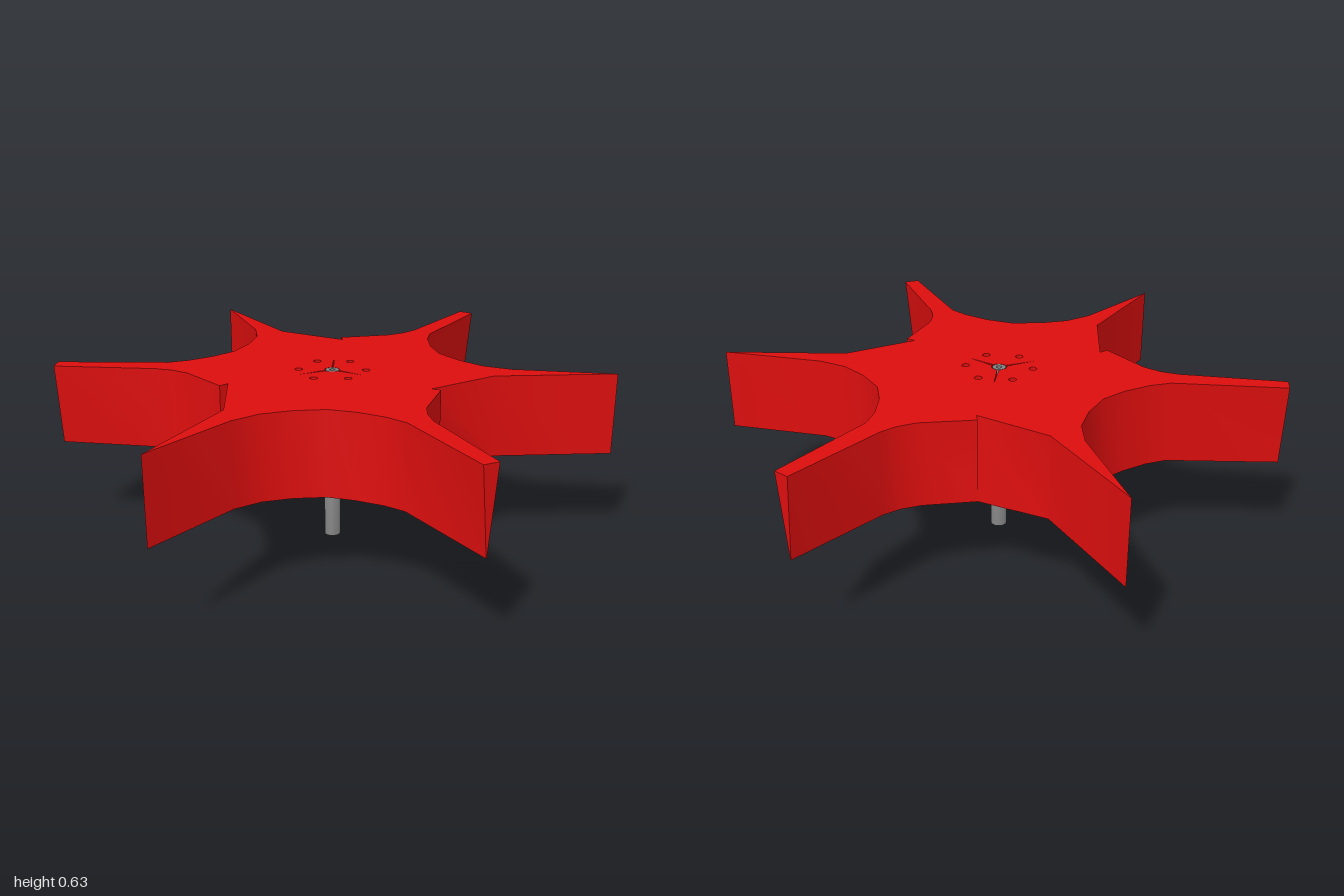
import * as THREE from 'three';
import { toCreasedNormals, mergeGeometries } from 'three/addons/utils/BufferGeometryUtils.js';

const LOW = 0.336, HIGH = 0.633, HUB_X = -0.007;

// One third of the star outline: [top x, top z, bottom x, bottom z],
// running from a pointed arm, past the stepped notch, round a blunt arm.
const SECTOR = [
  [0.825, 0.55, 0.825, 0.55],
  [0.437, 0.351, 0.437, 0.351],
  [0.166, 0.36, 0.188, 0.388],
  [0.188, 0.386, 0.188, 0.388],
  [0.042, 0.512, 0.052, 0.512],
  [0.006, 0.57, 0.01, 0.57],
  [-0.012, 0.63, -0.014, 0.63],
  [-0.047, 0.998, -0.072, 0.992],
  [-0.102, 0.994, -0.074, 0.992],
  [-0.091, 0.6, -0.091, 0.6],
  [-0.116, 0.528, -0.124, 0.528],
  [-0.17, 0.44, -0.182, 0.446],
  [-0.238, 0.368, -0.246, 0.378],
  [-0.34, 0.321, -0.346, 0.33],
  [-0.444, 0.298, -0.447, 0.304],
  [-0.548, 0.31, -0.548, 0.31],
];

function spin(x, z, angle) {
  const c = Math.cos(angle), s = Math.sin(angle);
  return [x * c - z * s, x * s + z * c];
}

// Wall between a lower and an upper loop of [x, z] points
function wall(lower, upper) {
  const pos = [];
  const n = upper.length;
  const put = (p, y) => pos.push(p[0], y, p[1]);
  for (let i = 0; i < n; i++) {
    const j = (i + 1) % n;
    put(lower[i], LOW); put(upper[i], HIGH); put(upper[j], HIGH);
    put(lower[i], LOW); put(upper[j], HIGH); put(lower[j], LOW);
  }
  const g = new THREE.BufferGeometry();
  g.setAttribute('position', new THREE.Float32BufferAttribute(pos, 3));
  return toCreasedNormals(g, 0.6);
}

// Flat face with holes; side is 1 for the top and -1 for the underside
function cap(loop, holes, side) {
  const flat = (pts) => pts.map(([x, z]) => new THREE.Vector2(x, -side * z));
  const shape = new THREE.Shape(flat(loop));
  shape.holes = holes.map((h) => new THREE.Path(flat(h)));
  const g = new THREE.ShapeGeometry(shape).rotateX((-side * Math.PI) / 2);
  g.translate(0, side > 0 ? HIGH : LOW, 0);
  const out = g.toNonIndexed();
  out.deleteAttribute('uv');
  return out;
}

export function createModel() {
  const red = new THREE.MeshStandardMaterial({ color: 0xdc0e0e });
  red.name = 'red';
  const grey = new THREE.MeshStandardMaterial({ color: 0x858585 });
  grey.name = 'grey';
  const group = new THREE.Group();
  group.name = 'starWheel';

  // Star outlines, three sectors each
  const upper = [], lower = [];
  for (let k = 0; k < 3; k++) {
    const a = (k * Math.PI * 2) / 3;
    for (const [tx, tz, bx, bz] of SECTOR) {
      upper.push(spin(tx, tz, a));
      lower.push(spin(bx, bz, a));
    }
  }

  // Ring of six small bolt holes
  const holes = [];
  for (let k = 0; k < 6; k++) {
    const a = (-87 + k * 60) * Math.PI / 180;
    const hole = [];
    for (let i = 0; i < 12; i++) {
      const t = (-i * Math.PI) / 6;
      hole.push([
        HUB_X + 0.119 * Math.cos(a) + 0.014 * Math.cos(t),
        0.119 * Math.sin(a) + 0.014 * Math.sin(t),
      ]);
    }
    holes.push(hole);
  }

  // Hub opening with three thin slits
  const hub = [];
  for (let k = 2; k >= 0; k--) {
    const a = ((-57 + k * 120) * Math.PI) / 180;
    for (const [r, d] of [[0.027, 0.95], [0.027, 0.5], [0.027, 0.12], [0.138, 0], [0.027, -0.12], [0.027, -0.5]]) {
      hub.push([HUB_X + r * Math.cos(a + d), r * Math.sin(a + d)]);
    }
  }
  holes.push(hub);

  const star = new THREE.Mesh(mergeGeometries([
    wall(lower, upper),
    ...holes.map((h) => wall(h, h)),
    cap(upper, holes, 1),
    cap(lower, holes, -1),
  ]), red);
  star.name = 'starBody';
  group.add(star);

  // Hollow shaft below the star, reaching up through the hub
  const profile = [[0.01, 0], [0.029, 0], [0.029, LOW], [0.024, LOW + 0.01], [0.024, HIGH], [0.01, HIGH], [0.01, 0]]
    .map(([r, y]) => new THREE.Vector2(r, y));
  const shaft = new THREE.Mesh(toCreasedNormals(new THREE.LatheGeometry(profile, 20), 0.6), grey);
  shaft.name = 'shaft';
  shaft.position.x = HUB_X;
  group.add(shaft);

  return group;
}
